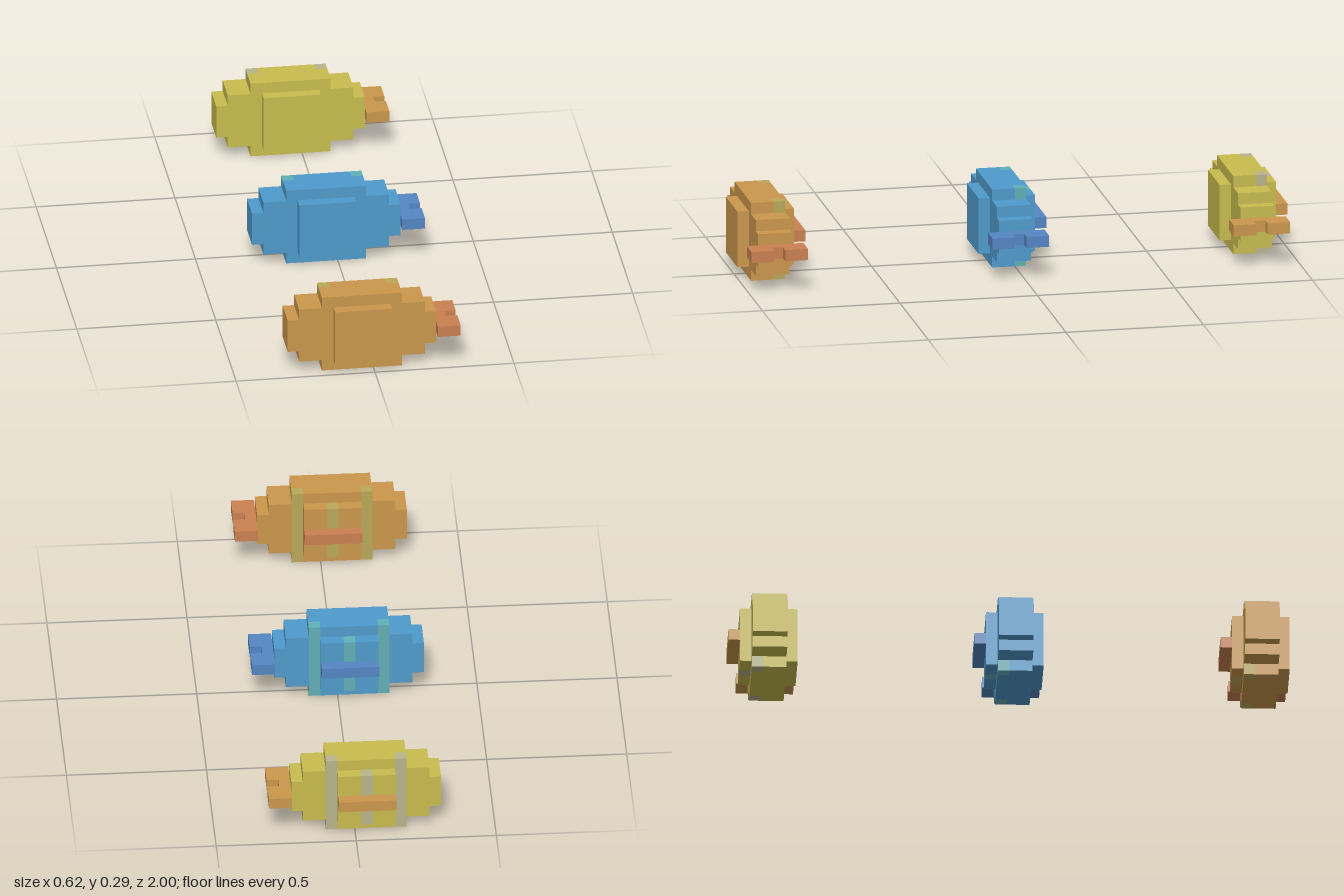
import * as THREE from 'three';

const U = 2 / 48.65; // size of one block

const material = (name, color) => {
  const m = new THREE.MeshStandardMaterial({ color });
  m.name = name;
  return m;
};

// Half of the fish outline: [x from, x to, height inset], in blocks from the nose
const STEPS = [[0, 1, 2], [1, 3, 1], [3, 10, 0], [10, 12, 1], [12, 13, 2]];
const X0 = -7.5;

// Solid stepped slab between two x limits, z from z0 to z1
function slab(xa, xb, z0, z1) {
  const top = [];
  const bottom = [];
  for (const [a, b, inset] of STEPS) {
    const l = Math.max(a, xa), r = Math.min(b, xb);
    if (l >= r) continue;
    top.push([l, 7 - inset], [r, 7 - inset]);
    bottom.push([l, inset], [r, inset]);
  }
  const pts = [...bottom, ...top.reverse()].map(([x, y]) => new THREE.Vector2((x + X0) * U, y * U));
  const geo = new THREE.ExtrudeGeometry(new THREE.Shape(pts), { depth: (z1 - z0) * U, bevelEnabled: false });
  return geo.translate(0, 0, z0 * U);
}

// Box from corner to corner in blocks
function block(xa, xb, ya, yb, za, zb) {
  const geo = new THREE.BoxGeometry((xb - xa) * U, (yb - ya) * U, (zb - za) * U);
  return geo.translate(((xa + xb) / 2 + X0) * U, (ya + yb) / 2 * U, (za + zb) / 2 * U);
}

// Forked tail lying flat, with a notch at its end
function tailGeometry() {
  const pts = [[13, -2.5], [15, -2.5], [15, -0.5], [14, -0.5], [14, 0.5], [15, 0.5], [15, 2.5], [13, 2.5]];
  const shape = new THREE.Shape(pts.map(([x, z]) => new THREE.Vector2((x + X0) * U, z * U)));
  const geo = new THREE.ExtrudeGeometry(shape, { depth: U, bevelEnabled: false });
  return geo.rotateX(-Math.PI / 2).translate(0, 3 * U, 0);
}

function fish(name, bodyMat, stripeMat, finMat) {
  const group = new THREE.Group();
  group.name = name;
  const add = (part, geo, mat) => {
    const mesh = new THREE.Mesh(geo, mat);
    mesh.name = part;
    group.add(mesh);
  };

  // Body: plain front layers, striped back layer
  add('body', slab(0, 13, -0.5, 1.5), bodyMat);
  add('bodyBackHead', slab(0, 3, -1.5, -0.5), bodyMat);
  add('bodyBackMiddle', slab(4, 9, -1.5, -0.5), bodyMat);
  add('bodyBackRear', slab(10, 13, -1.5, -0.5), bodyMat);
  for (const x of [3, 9]) add('bodyStripe', slab(x, x + 1, -1.5, -0.5), stripeMat);

  // Raised panels on both broad sides
  add('frontPanel', block(4, 9, 1, 6, 1.5, 2.5), bodyMat);
  for (const x of [4, 7]) add('backPanel', block(x, x + 2, 1, 6, -2.5, -1.5), bodyMat);
  add('panelStripe', block(6, 7, 1, 6, -2.5, -1.5), stripeMat);

  // Fin ridge and tail
  add('fin', block(4, 9, 3, 4, -3.5, -2.5), finMat);
  add('tail', tailGeometry(), finMat);
  return group;
}

export function createModel() {
  const orange = material('orange', 0xcb984d);
  const olive = material('pale olive', 0xbaa95a);
  const rust = material('rust', 0xca8151);
  const blue = material('blue', 0x4f9bcc);
  const teal = material('teal', 0x62b0b8);
  const deepBlue = material('deep blue', 0x5586c4);
  const yellow = material('yellow', 0xc8bc4e);
  const grey = material('warm grey', 0xb9b58c);

  const model = new THREE.Group();
  model.name = 'threeFish';
  const row = [
    [fish('orangeFish', orange, olive, rust), 1 - 2.5 * U],
    [fish('blueFish', blue, teal, deepBlue), 0.5 * U],
    [fish('yellowFish', yellow, grey, orange), -1 + 3.5 * U],
  ];
  for (const [f, z] of row) {
    f.position.z = z;
    model.add(f);
  }
  return model;
}
